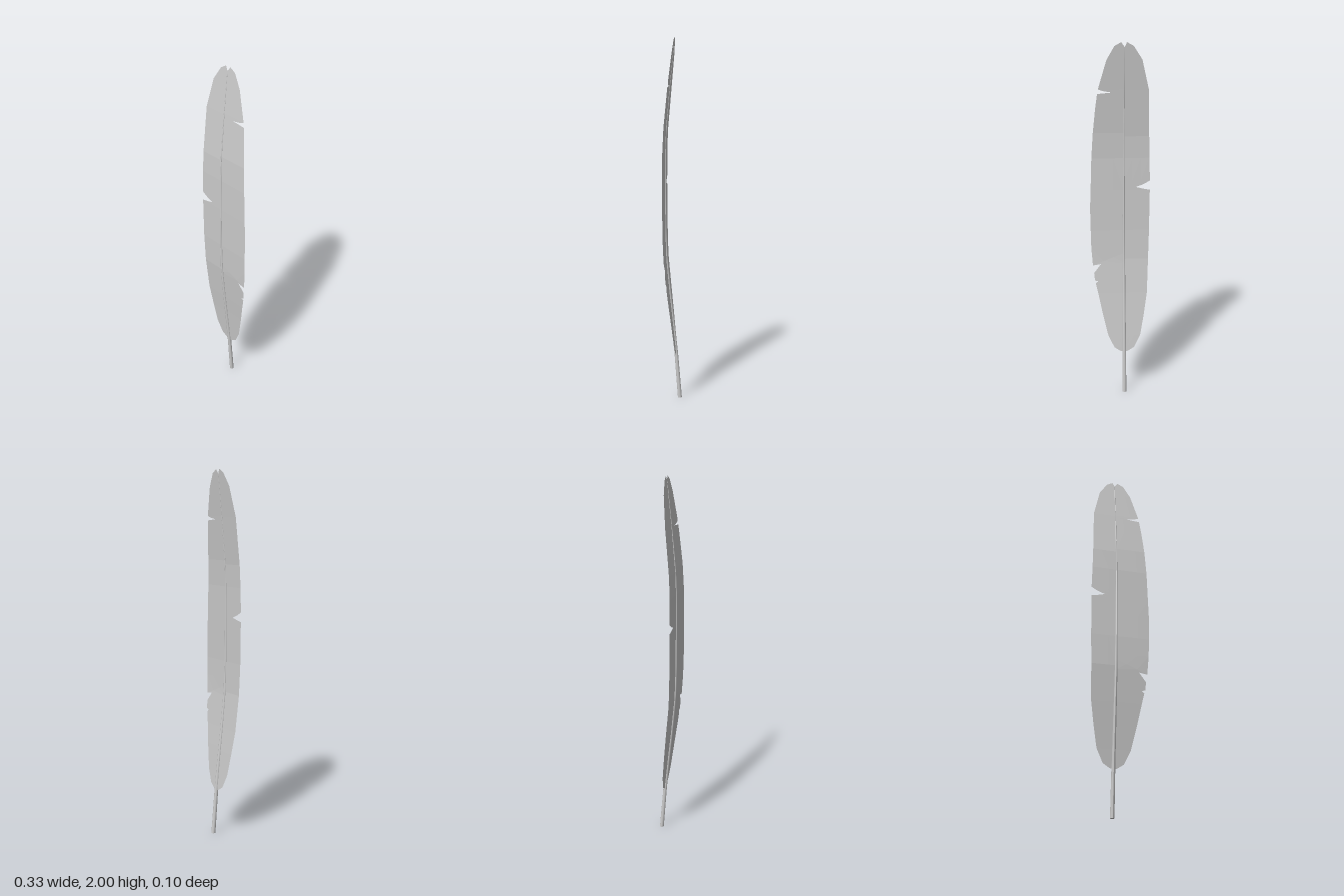
import * as THREE from 'three';

const SPINE_X = -0.023;
const VANE_BOTTOM = 0.25, VANE_TOP = 1.975;

// Forward bow of the feather: [height, z]
const BOW = [[0, -0.039], [0.25, -0.019], [0.42, -0.002], [0.6, 0.018], [0.8, 0.037], [0.97, 0.042],
  [1.2, 0.043], [1.38, 0.043], [1.5, 0.039], [1.75, 0.017], [2, -0.009]];

function bow(y) {
  let i = 0;
  while (i < BOW.length - 2 && y > BOW[i + 1][0]) i++;
  const [y0, z0] = BOW[i], [y1, z1] = BOW[i + 1];
  return z0 + (z1 - z0) * (y - y0) / (y1 - y0);
}

// Vane edges from bottom to top: [x, y, optional height of the matching spine point]
const LEFT_EDGE = [
  [-0.04, 0.25], [-0.08, 0.275], [-0.115, 0.35], [-0.135, 0.47], [-0.153, 0.6], [-0.159, 0.8], [-0.163, 0.97],
  [-0.165, 1.2], [-0.128, 1.207], [-0.088, 1.217], [-0.13, 1.232], [-0.165, 1.252], // split
  [-0.161, 1.38], [-0.158, 1.5], [-0.152, 1.75], [-0.115, 1.91], [-0.07, 1.98], [-0.035, 2.0], [SPINE_X, 1.975],
];
const RIGHT_EDGE = [
  [-0.005, 0.25], [0.033, 0.275], [0.068, 0.35], [0.1, 0.49], [0.122, 0.6], [0.135, 0.66],
  [0.122, 0.672], [0.14, 0.678], [0.144, 0.722], [0.122, 0.75], [0.1, 0.78, 0.78], [0.15, 0.765, 0.835], // splits
  [0.158, 0.87], [0.16, 0.97], [0.162, 1.1], [0.158, 1.2], [0.152, 1.38], [0.143, 1.52], [0.13, 1.65],
  [0.119, 1.732], [0.04, 1.739], [0.085, 1.746], [0.115, 1.756], // split
  [0.07, 1.91], [0.03, 1.98], [-0.005, 2.0], [SPINE_X, 1.975],
];

// Sheet of barbs between the spine and one edge
function vane(edge, name, material) {
  const pos = [], index = [];
  const columns = 3;
  edge.forEach(([x, y, spineY = y], row) => {
    const sy = THREE.MathUtils.clamp(spineY, VANE_BOTTOM, VANE_TOP);
    for (let c = 0; c <= columns; c++) {
      const t = c / columns;
      const py = THREE.MathUtils.lerp(sy, y, t);
      pos.push(THREE.MathUtils.lerp(SPINE_X, x, t), py, bow(py));
    }
    if (row === 0) return;
    for (let c = 0; c < columns; c++) {
      const b = row * (columns + 1) + c, a = b - columns - 1;
      if (edge === RIGHT_EDGE) index.push(a, a + 1, b + 1, a, b + 1, b);
      else index.push(a, b + 1, a + 1, a, b, b + 1);
    }
  });
  const geo = new THREE.BufferGeometry();
  geo.setAttribute('position', new THREE.Float32BufferAttribute(pos, 3));
  geo.setIndex(index);
  geo.computeVertexNormals();
  const mesh = new THREE.Mesh(geo, material);
  mesh.name = name;
  return mesh;
}

// Tapered shaft that follows the bow
function quill(material) {
  const height = 1.97;
  const geo = new THREE.CylinderGeometry(0.0015, 0.0115, height, 10, 24);
  geo.translate(SPINE_X, height / 2, 0);
  const p = geo.attributes.position;
  for (let i = 0; i < p.count; i++) p.setZ(i, p.getZ(i) + bow(p.getY(i)));
  geo.computeVertexNormals();
  const mesh = new THREE.Mesh(geo, material);
  mesh.name = 'quill';
  return mesh;
}

export function createModel() {
  const group = new THREE.Group();
  group.name = 'feather';
  const solid = new THREE.MeshStandardMaterial({ color: 0xcccccc });
  const sheet = new THREE.MeshStandardMaterial({ color: 0xcccccc, side: THREE.DoubleSide, flatShading: true });
  group.add(quill(solid), vane(LEFT_EDGE, 'rightVane', sheet), vane(RIGHT_EDGE, 'leftVane', sheet));
  return group;
}
